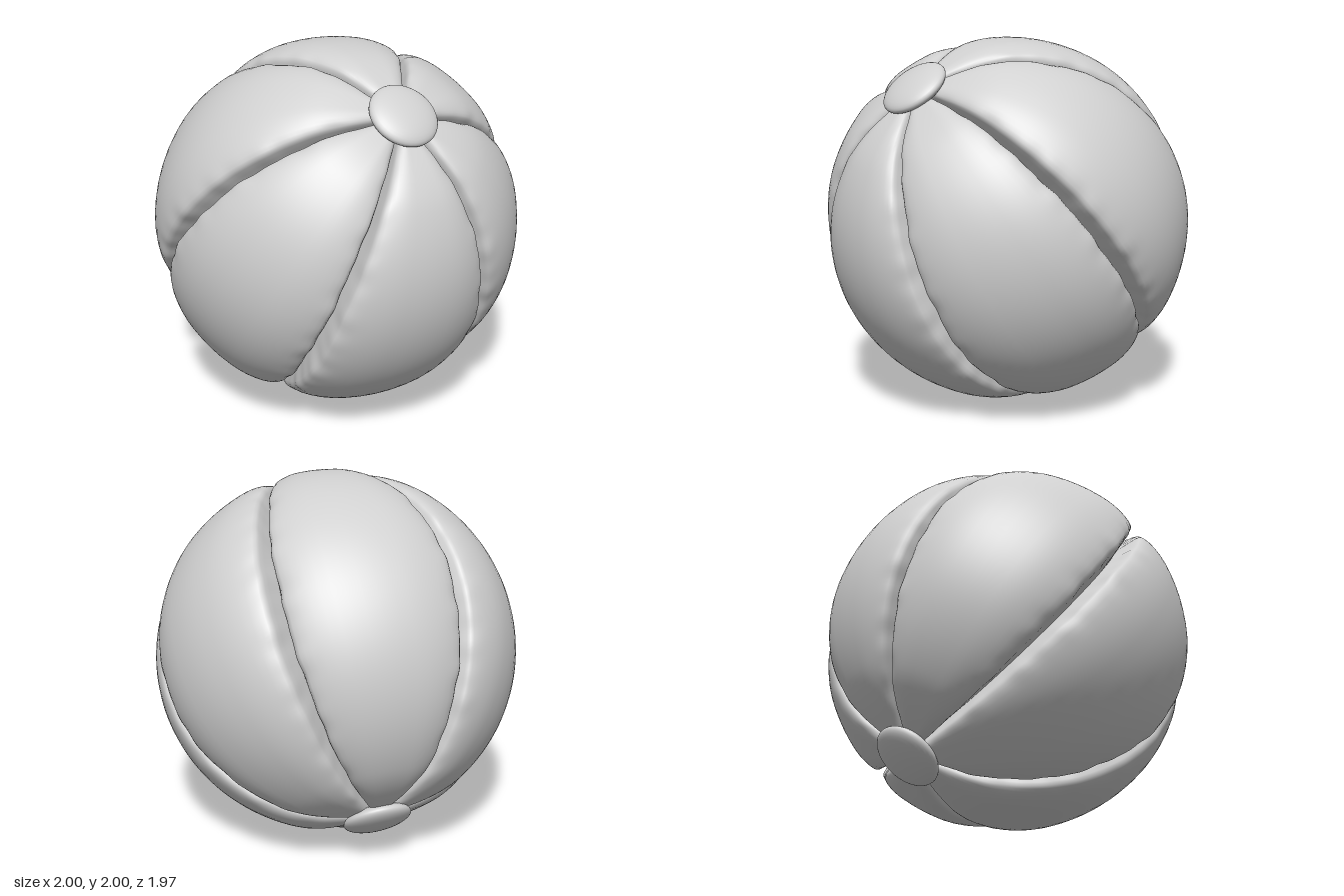
import * as THREE from 'three';

const PANELS = 6;
const HALF = Math.PI / PANELS;

// Half cross-section of a puffed panel: [fraction of half width, radius]
const PROFILE = [
  [0, 1], [0.15, 1], [0.3, 1], [0.42, 1], [0.54, 0.998], [0.65, 0.994], [0.75, 0.989],
  [0.83, 0.982], [0.89, 0.974], [0.925, 0.963], [0.945, 0.945], [0.96, 0.91], [0.98, 0.86], [1, 0.82],
];
const SECTION = [
  ...PROFILE.slice(1).reverse().map(([u, r]) => [-u, r]),
  ...PROFILE,
];

// Gentle irregular waviness along a seam
const ripple = (lat, seed) =>
  (Math.sin(lat * 11 + seed * 2.3) + Math.sin(lat * 23 + seed * 4.1) + 0.7 * Math.sin(lat * 41 + seed)) / 2.7;

// One pillow-shaped segment running from pole to pole
function panelGeometry(index) {
  const rows = 120;
  const cols = SECTION.length;
  const positions = [];
  const indices = [];
  const limit = THREE.MathUtils.degToRad(88);
  for (let i = 0; i <= rows; i++) {
    const lat = -limit + (2 * limit * i) / rows;
    const polar = 1 - 0.03 * THREE.MathUtils.smoothstep(Math.abs(lat), 1.05, 1.5);
    for (let j = 0; j < cols; j++) {
      const [u, r] = SECTION[j];
      const a = Math.abs(u);
      // Waviness is strongest at the lip and vanishes at the shared seam line
      const lip = THREE.MathUtils.smoothstep(a, 0.7, 0.92) * (1 - THREE.MathUtils.smoothstep(a, 0.95, 1));
      const wave = ripple(lat, index * 2 + (u > 0 ? 1 : 0)) * lip;
      const phi = (2 * index + 1 + u - Math.sign(u) * 0.012 * (lip + wave)) * HALF;
      const radius = (r - 0.005 * wave) * polar;
      positions.push(
        radius * Math.cos(lat) * Math.sin(phi),
        radius * Math.sin(lat),
        radius * Math.cos(lat) * Math.cos(phi),
      );
      if (i < rows && j < cols - 1) {
        const p = i * cols + j;
        indices.push(p, p + 1, p + cols + 1, p, p + cols + 1, p + cols);
      }
    }
  }
  const geometry = new THREE.BufferGeometry();
  geometry.setAttribute('position', new THREE.Float32BufferAttribute(positions, 3));
  geometry.setIndex(indices);
  geometry.computeVertexNormals();
  return geometry;
}

export function createModel() {
  const model = new THREE.Group();
  model.name = 'beachBall';
  const grey = new THREE.MeshStandardMaterial({ color: 0xd0d0d0 });
  grey.name = 'lightGrey';

  const ball = new THREE.Group();
  ball.name = 'tiltedBall';
  model.add(ball);

  // Puffed panels around the axis
  for (let k = 0; k < PANELS; k++) {
    const panel = new THREE.Mesh(panelGeometry(k), grey);
    panel.name = `panel${k + 1}`;
    ball.add(panel);
  }

  // Lens-shaped caps over both poles
  for (const side of [1, -1]) {
    const cap = new THREE.Mesh(new THREE.SphereGeometry(1, 40, 20), grey);
    cap.name = side > 0 ? 'topCap' : 'bottomCap';
    cap.scale.set(0.185, 0.06, 0.185);
    cap.position.y = side * 0.98;
    ball.add(cap);
  }

  // Tilt the pole axis, keeping one seam facing the front
  const axis = new THREE.Vector3(0.305, 0.77, 0.55).normalize();
  const front = new THREE.Vector3(0, 0, 1).addScaledVector(axis, -axis.z).normalize();
  const across = new THREE.Vector3().crossVectors(axis, front);
  ball.quaternion.setFromRotationMatrix(new THREE.Matrix4().makeBasis(across, axis, front));
  ball.position.y = 1;
  return model;
}
